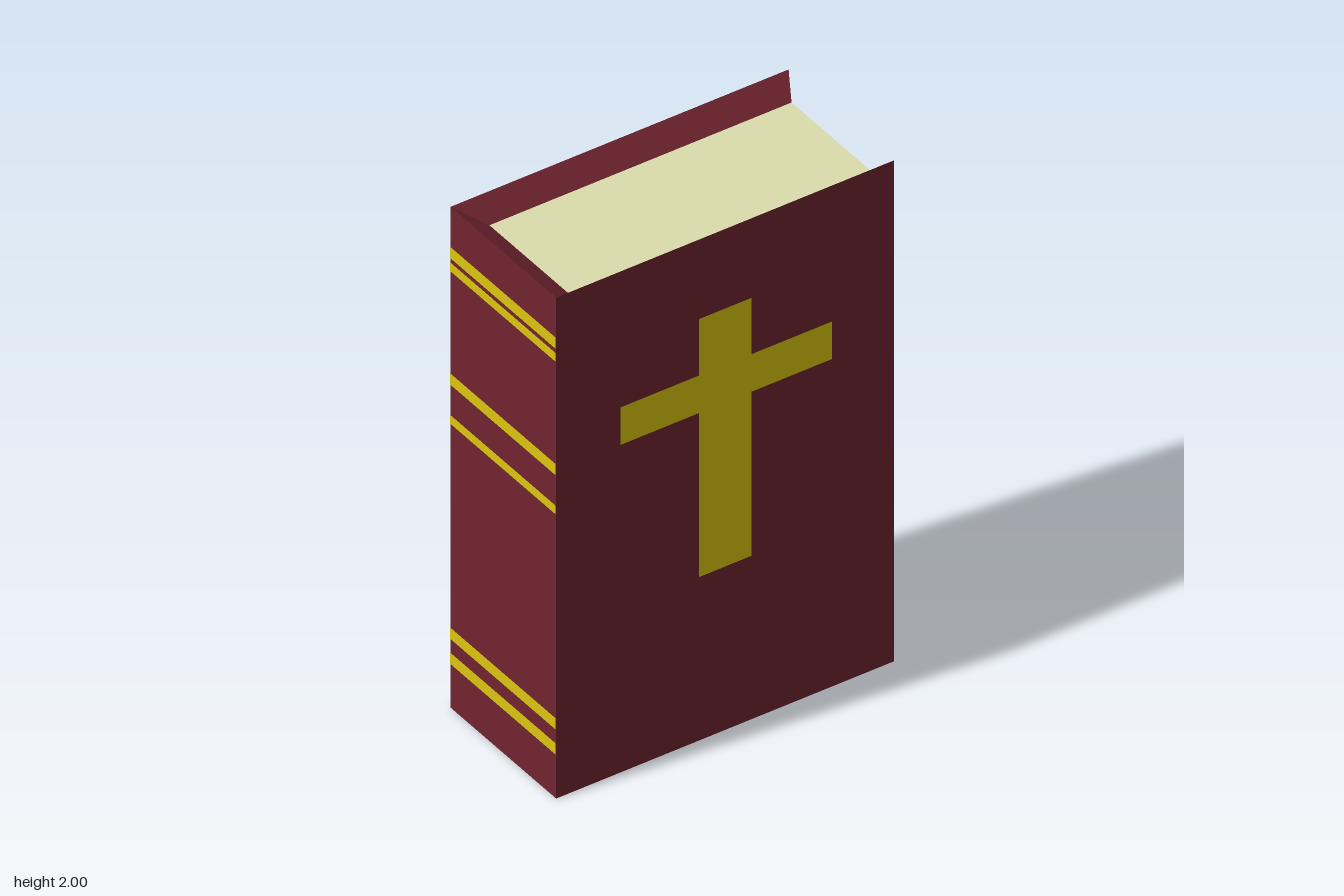
import * as THREE from 'three';

const flat = (name, color) => {
  const m = new THREE.MeshStandardMaterial({ color });
  m.name = name;
  return m;
};

// Flat-shaded geometry from four-cornered faces, counter-clockwise from outside
function quads(faces) {
  const pos = [];
  for (const [a, b, c, d] of faces) pos.push(...a, ...b, ...c, ...a, ...c, ...d);
  const g = new THREE.BufferGeometry();
  g.setAttribute('position', new THREE.Float32BufferAttribute(pos, 3));
  g.computeVertexNormals();
  return g;
}

export function createModel() {
  const red = flat('burgundy cover', 0x70242f);
  const cream = flat('cream paper', 0xdcdcae);
  const gold = flat('gold', 0xdcc610);

  const book = new THREE.Group();
  book.name = 'book';
  const add = (name, geometry, material, x = 0, y = 0, z = 0) => {
    const mesh = new THREE.Mesh(geometry, material);
    mesh.name = name;
    mesh.position.set(x, y, z);
    book.add(mesh);
    return mesh;
  };

  // Outer cover extents and the page block inside it
  const out = { x: [-0.66, 0.66], y: [0, 2], z: [-0.3, 0.3] };
  const inn = { x: [-0.56, 0.62], y: [0.07, 1.93], z: [-0.225, 0.225] };
  const O = (i, j, k) => [out.x[i], out.y[j], out.z[k]];
  const I = (i, j, k) => [inn.x[i], inn.y[j], inn.z[k]];

  // Cover: front, back and spine boards
  const faces = [
    [O(0, 0, 1), O(1, 0, 1), O(1, 1, 1), O(0, 1, 1)],
    [O(1, 0, 0), O(0, 0, 0), O(0, 1, 0), O(1, 1, 0)],
    [O(0, 0, 0), O(0, 0, 1), O(0, 1, 1), O(0, 1, 0)],
  ];
  // Sloped inner edges running from the boards down to the pages
  const bevel = (p, q) => faces.push([O(...p), O(...q), I(...q), I(...p)]);
  bevel([0, 1, 1], [1, 1, 1]); // top
  bevel([1, 1, 0], [0, 1, 0]);
  bevel([0, 1, 0], [0, 1, 1]);
  bevel([1, 0, 1], [0, 0, 1]); // bottom
  bevel([0, 0, 0], [1, 0, 0]);
  bevel([0, 0, 1], [0, 0, 0]);
  bevel([1, 1, 1], [1, 0, 1]); // fore edge
  bevel([1, 0, 0], [1, 1, 0]);
  add('cover', quads(faces), red);

  // Page block
  add('pages', new THREE.BoxGeometry(1.18, 1.86, 0.45), cream, 0.03, 1, 0);

  // Gold cross on the front board
  const cross = new THREE.Shape([
    [-0.105, 0.655], [0.1, 0.655], [0.1, 1.31], [0.415, 1.31], [0.415, 1.46], [0.1, 1.46],
    [0.1, 1.685], [-0.105, 1.685], [-0.105, 1.46], [-0.41, 1.46], [-0.41, 1.31], [-0.105, 1.31],
  ].map(([x, y]) => new THREE.Vector2(x, y)));
  add('frontCross', new THREE.ShapeGeometry(cross), gold, 0, 0, 0.303);

  // Gold bands across the spine: [centre height, width]
  const bands = [[1.82, 0.045], [1.763, 0.035], [1.315, 0.045], [1.154, 0.035], [0.3, 0.045], [0.2, 0.045]];
  for (const [y, h] of bands) {
    add('spineBand', new THREE.PlaneGeometry(0.6, h), gold, -0.663, y, 0).rotation.y = -Math.PI / 2;
  }
  return book;
}
